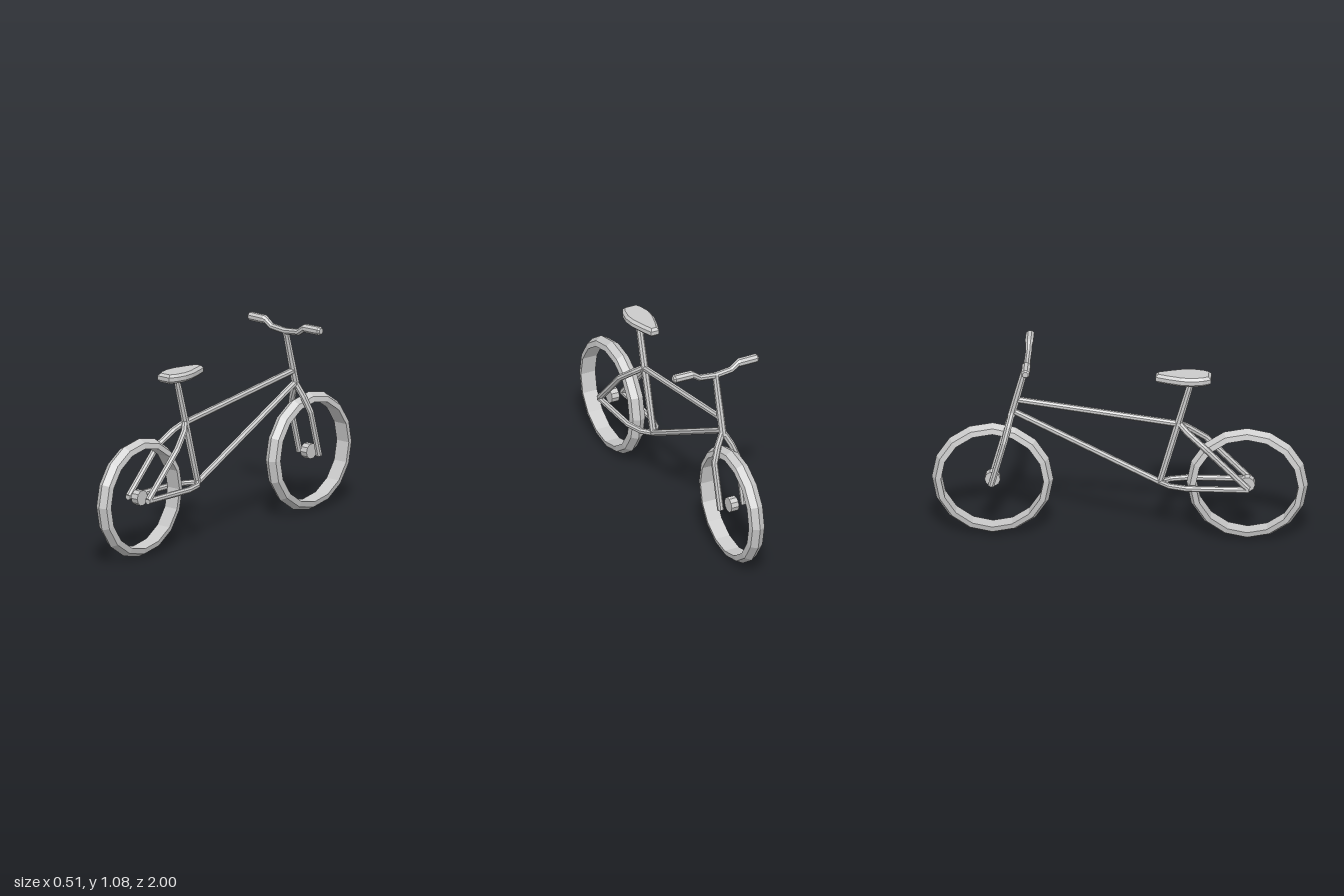
import * as THREE from 'three';

const material = new THREE.MeshStandardMaterial({ color: 0xcccccc, flatShading: true });
const SIDES = 8;
const AXLE_Y = 0.325, AXLE_Z = 0.677;

function addMesh(parent, name, geometry) {
  const mesh = new THREE.Mesh(geometry, material);
  mesh.name = name;
  parent.add(mesh);
  return mesh;
}

// Faceted tube through points [x, y, z, radius], closed at both ends.
function tube(points, ref = new THREE.Vector3(1, 0, 0)) {
  const path = points.map(p => new THREE.Vector3(p[0], p[1], p[2]));
  const pos = [], index = [], last = path.length - 1;
  path.forEach((p, i) => {
    const t = new THREE.Vector3();
    if (i > 0) t.add(p.clone().sub(path[i - 1]).normalize());
    if (i < last) t.add(path[i + 1].clone().sub(p).normalize());
    t.normalize();
    const u = ref.clone().addScaledVector(t, -ref.dot(t)).normalize();
    const v = t.clone().cross(u);
    for (let j = 0; j < SIDES; j++) {
      const a = (j + 0.5) / SIDES * Math.PI * 2, r = points[i][3];
      const q = p.clone().addScaledVector(u, r * Math.cos(a)).addScaledVector(v, r * Math.sin(a));
      pos.push(q.x, q.y, q.z);
    }
  });
  for (let j = 0; j < SIDES; j++) {
    const k = (j + 1) % SIDES;
    for (let i = 0; i < last; i++) {
      const a = i * SIDES + j, b = i * SIDES + k;
      index.push(a, b, b + SIDES, a, b + SIDES, a + SIDES);
    }
    if (j > 0 && k > 0) {
      const e = last * SIDES;
      index.push(0, k, j, e, e + j, e + k);
    }
  }
  const g = new THREE.BufferGeometry();
  g.setAttribute('position', new THREE.Float32BufferAttribute(pos, 3));
  g.setIndex(index);
  g.computeVertexNormals();
  return g;
}

// Sixteen-sided tyre with a ridged tread, and a small hub disc.
function makeWheel(name, z) {
  const wheel = new THREE.Group();
  wheel.name = name;
  const profile = [[0.273, -0.043], [0.303, -0.036], [0.323, 0], [0.303, 0.036], [0.273, 0.043], [0.273, -0.043]]
    .map(p => new THREE.Vector2(p[0], p[1]));
  addMesh(wheel, 'tyre', new THREE.LatheGeometry(profile, 16).rotateZ(Math.PI / 2));
  addMesh(wheel, 'hub', new THREE.CylinderGeometry(0.042, 0.042, 0.044, 10).rotateZ(Math.PI / 2));
  wheel.position.set(0, AXLE_Y, z);
  return wheel;
}

// Saddle: narrow nose towards -z, widest behind the middle, bevelled rim.
function makeSaddle() {
  const bevel = 0.014;
  const half = [[0.014, 0.204], [0.034, 0.26], [0.054, 0.33], [0.059, 0.385], [0.048, 0.44], [0.032, 0.471]];
  const outline = [...half, ...half.map(([x, z]) => [-x, z]).reverse()];
  const shape = new THREE.Shape(outline.map(([x, z]) => new THREE.Vector2(x, z)));
  const g = new THREE.ExtrudeGeometry(shape, {
    depth: 0.022, bevelEnabled: true, bevelSize: bevel, bevelThickness: bevel, bevelSegments: 1
  });
  // shape y becomes z, extrusion runs downwards
  return g.rotateX(Math.PI / 2).translate(0, 0.948, 0);
}

export function createModel() {
  const bike = new THREE.Group();
  bike.name = 'bicycle';
  bike.add(makeWheel('frontWheel', -AXLE_Z), makeWheel('rearWheel', AXLE_Z));

  // Main frame
  const frame = new THREE.Group();
  frame.name = 'frame';
  bike.add(frame);
  addMesh(frame, 'seatTube', tube([
    [0, 0.315, 0.21, 0.019], [0, 0.67, 0.31, 0.021], [0, 0.87, 0.366, 0.019], [0, 0.93, 0.383, 0.015]]));
  addMesh(frame, 'topTube', tube([[0, 0.665, 0.312, 0.018], [0, 0.787, -0.55, 0.018]]));
  addMesh(frame, 'downTube', tube([[0, 0.32, 0.212, 0.018], [0, 0.718, -0.565, 0.018]]));

  // Paired stays and fork legs
  for (const [side, s] of [['left', 1], ['right', -1]]) {
    addMesh(frame, side + 'SeatStay', tube([
      [0, 0.67, 0.312, 0.017], [s * 0.036, 0.63, 0.36, 0.018],
      [s * 0.07, 0.555, 0.455, 0.018], [s * 0.07, 0.322, 0.685, 0.018]]));
    addMesh(frame, side + 'ChainStay', tube([
      [0, 0.32, 0.21, 0.016], [s * 0.045, 0.318, 0.265, 0.016],
      [s * 0.07, 0.317, 0.36, 0.017], [s * 0.07, 0.317, 0.69, 0.017]]));
  }

  // Steering column, fork and handlebar
  const steering = new THREE.Group();
  steering.name = 'steering';
  bike.add(steering);
  addMesh(steering, 'steeringColumn', tube([[0, 1.02, -0.492, 0.018], [0, 0.8, -0.55, 0.021], [0, 0.69, -0.579, 0.021]]));
  for (const [side, s] of [['left', 1], ['right', -1]]) {
    addMesh(steering, side + 'ForkLeg', tube([
      [0, 0.715, -0.573, 0.018], [s * 0.04, 0.64, -0.593, 0.019],
      [s * 0.07, 0.56, -0.614, 0.018], [s * 0.07, 0.31, -0.682, 0.018]]));
  }
  const halfBar = [[0.255, 1.056, 0.016], [0.245, 1.056, 0.024], [0.145, 1.055, 0.024], [0.135, 1.053, 0.019], [0.095, 1.025, 0.018]];
  const bar = [
    ...halfBar.map(([x, y, r]) => [-x, y, -0.49, r]),
    [0, 1.015, -0.492, 0.018],
    ...halfBar.map(([x, y, r]) => [x, y, -0.49, r]).reverse()
  ];
  addMesh(steering, 'handlebar', tube(bar, new THREE.Vector3(0, 0, 1)));

  addMesh(bike, 'saddle', makeSaddle());
  return bike;
}
